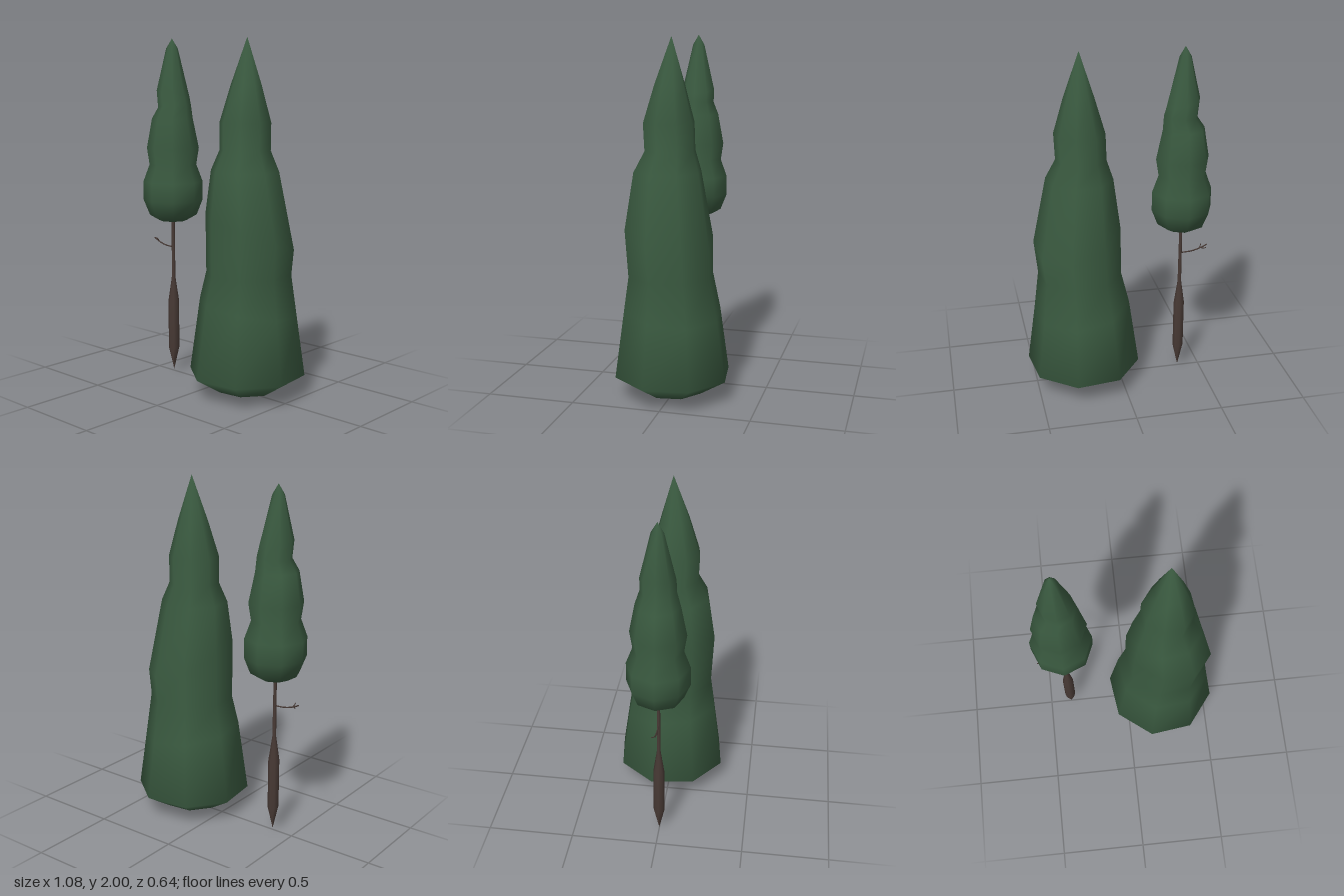
import * as THREE from 'three';

const SIDES = 8;
const foliageGreen = new THREE.MeshStandardMaterial({ color: 0x3a5a40 });
foliageGreen.name = 'foliage green';
const barkBrown = new THREE.MeshStandardMaterial({ color: 0x483a35 });
barkBrown.name = 'bark brown';

// Closed smooth crown through octagonal rings: [y, centre x, centre z, radius, tilt x, tilt z].
// The first and last entries are the bottom and top points.
function crown(name, rings, turn) {
  const last = rings.length - 1;
  const pos = [], index = [];
  rings.forEach(([y, cx, cz, r, tx = 0, tz = 0], k) => {
    const n = k === 0 || k === last ? 1 : SIDES;
    for (let i = 0; i < n; i++) {
      const a = turn + (i / SIDES) * Math.PI * 2;
      const dx = r * Math.cos(a), dz = r * Math.sin(a);
      pos.push(cx + dx, y + tx * dx + tz * dz, cz + dz);
    }
  });
  const id = (k, i) => (k === 0 ? 0 : k === last ? 1 + (last - 1) * SIDES : 1 + (k - 1) * SIDES + (i % SIDES));
  for (let k = 0; k < last; k++) {
    for (let i = 0; i < SIDES; i++) {
      const a = id(k, i), b = id(k, i + 1), c = id(k + 1, i), d = id(k + 1, i + 1);
      if (k > 0) index.push(a, c, b);
      if (k < last - 1) index.push(b, c, d);
      if (k === 0) index.pop(), index.pop(), index.pop(), index.push(a, c, d);
    }
  }
  const geo = new THREE.BufferGeometry();
  geo.setAttribute('position', new THREE.Float32BufferAttribute(pos, 3));
  geo.setIndex(index);
  geo.computeVertexNormals();
  const mesh = new THREE.Mesh(geo, foliageGreen);
  mesh.name = name;
  return mesh;
}

// Thin bent twig
function twig(name, points, radius) {
  const curve = new THREE.CatmullRomCurve3(points.map((p) => new THREE.Vector3(...p)));
  const mesh = new THREE.Mesh(new THREE.TubeGeometry(curve, 6, radius, 5), barkBrown);
  mesh.name = name;
  return mesh;
}

export function createModel() {
  const model = new THREE.Group();
  model.name = 'cypressTrees';

  // Large tree, crown reaching the ground
  const largeTree = new THREE.Group();
  largeTree.name = 'largeTree';
  largeTree.add(crown('largeCrown', [
    [0.0, 0.217, 0, 0],
    [0.03, 0.217, 0, 0.178],
    [0.125, 0.218, 0, 0.331],
    [0.5, 0.223, -0.002, 0.278, -0.11, 0.11],
    [0.7, 0.231, 0.005, 0.242],
    [0.94, 0.243, 0.012, 0.25, -0.28, 0.28],
    [1.275, 0.22, 0.027, 0.191],
    [1.388, 0.211, 0.015, 0.143],
    [1.54, 0.216, 0.02, 0.144],
    [1.745, 0.217, 0.015, 0.085],
    [2.0, 0.215, 0.005, 0],
  ], Math.PI / 12));
  model.add(largeTree);

  // Small tree, crown raised on a spindle trunk
  const smallTree = new THREE.Group();
  smallTree.name = 'smallTree';
  smallTree.add(crown('smallCrown', [
    [0.93, -0.369, 0, 0],
    [0.934, -0.369, 0, 0.083],
    [0.966, -0.367, 0, 0.139],
    [1.056, -0.368, 0, 0.175],
    [1.167, -0.368, 0, 0.175],
    [1.267, -0.368, 0, 0.138],
    [1.365, -0.367, 0, 0.153],
    [1.537, -0.37, 0, 0.12],
    [1.61, -0.351, 0, 0.096, 0.1],
    [1.685, -0.363, 0, 0.095, -0.25],
    [1.943, -0.369, 0, 0.034],
    [2.0, -0.369, 0, 0],
  ], 0));

  const profile = [[0, 0.01], [0.032, 0.15], [0.032, 0.44], [0.011, 0.585], [0.009, 0.96]];
  const trunk = new THREE.Mesh(
    new THREE.LatheGeometry(profile.map(([r, y]) => new THREE.Vector2(r, y)), SIDES), barkBrown);
  trunk.name = 'smallTrunk';
  trunk.position.x = -0.369;
  smallTree.add(trunk);

  // Bare branch with forked end
  const branch = new THREE.Group();
  branch.name = 'bareBranch';
  branch.add(
    twig('branchStem', [[-0.369, 0.77, 0], [-0.43, 0.773, 0], [-0.48, 0.785, 0], [-0.53, 0.808, 0]], 0.004),
    twig('upperTwig', [[-0.48, 0.785, 0], [-0.492, 0.797, 0.008], [-0.498, 0.812, 0.012]], 0.0025),
    twig('lowerTwig', [[-0.492, 0.789, 0], [-0.508, 0.79, -0.01], [-0.52, 0.797, -0.02]], 0.0025),
  );
  smallTree.add(branch);
  model.add(smallTree);
  return model;
}
